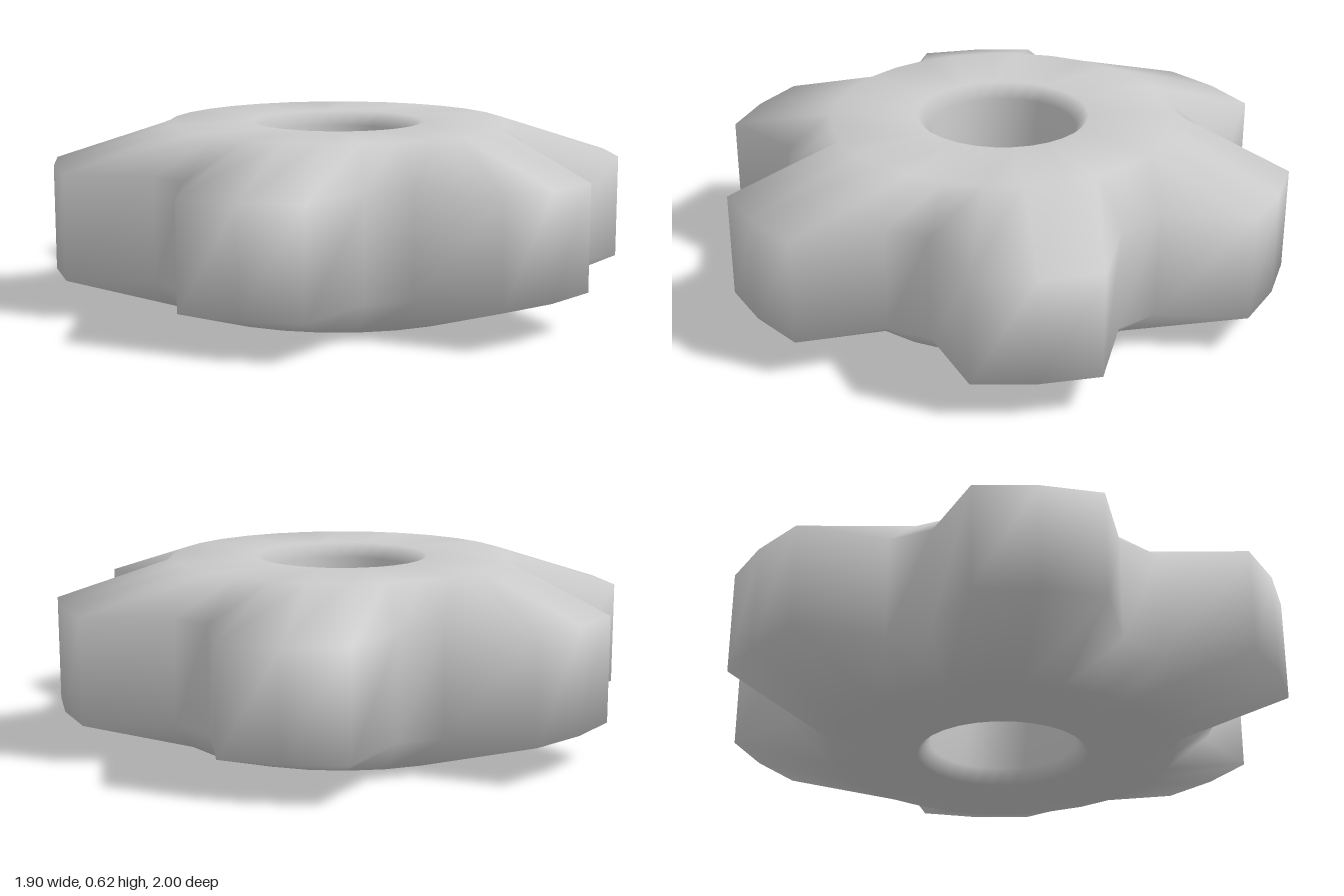
import * as THREE from 'three';

const TEETH = 6;
const STEPS = 5; // outline points per tooth
const COUNT = TEETH * STEPS;
// Outline radius per step: tooth centre, corner, root, root, corner
const TOOTH_RADII = [1, 1, 0.755, 0.755, 1];

// Closed cross-section [radius, height]; null radius follows the tooth outline
const PROFILE = [
  [0.258, 0.05], [0.3, 0], [0.6, 0],
  [null, 0.13], [null, 0.49],
  [0.6, 0.62], [0.3, 0.62], [0.258, 0.57],
];

function gearGeometry() {
  const positions = [];
  const index = [];
  const n = PROFILE.length;
  for (let i = 0; i < COUNT; i++) {
    // Start on a tooth centre pointing to the front
    const angle = Math.PI / 2 + (i / COUNT) * Math.PI * 2;
    for (const [radius, y] of PROFILE) {
      const r = radius ?? TOOTH_RADII[i % STEPS];
      positions.push(r * Math.cos(angle), y, r * Math.sin(angle));
    }
    // Join this cross-section to the next, wrapping both ways
    const next = (i + 1) % COUNT;
    for (let j = 0; j < n; j++) {
      const k = (j + 1) % n;
      const a = i * n + j, b = i * n + k;
      const c = next * n + j, d = next * n + k;
      index.push(a, b, c, b, d, c);
    }
  }
  const geometry = new THREE.BufferGeometry();
  geometry.setAttribute('position', new THREE.Float32BufferAttribute(positions, 3));
  geometry.setIndex(index);
  geometry.computeVertexNormals(); // shared vertices give smooth shading
  return geometry;
}

export function createModel() {
  const group = new THREE.Group();
  group.name = 'gear';
  const material = new THREE.MeshStandardMaterial({ color: 0xcccccc });
  const wheel = new THREE.Mesh(gearGeometry(), material);
  wheel.name = 'toothedWheel';
  group.add(wheel);
  return group;
}
